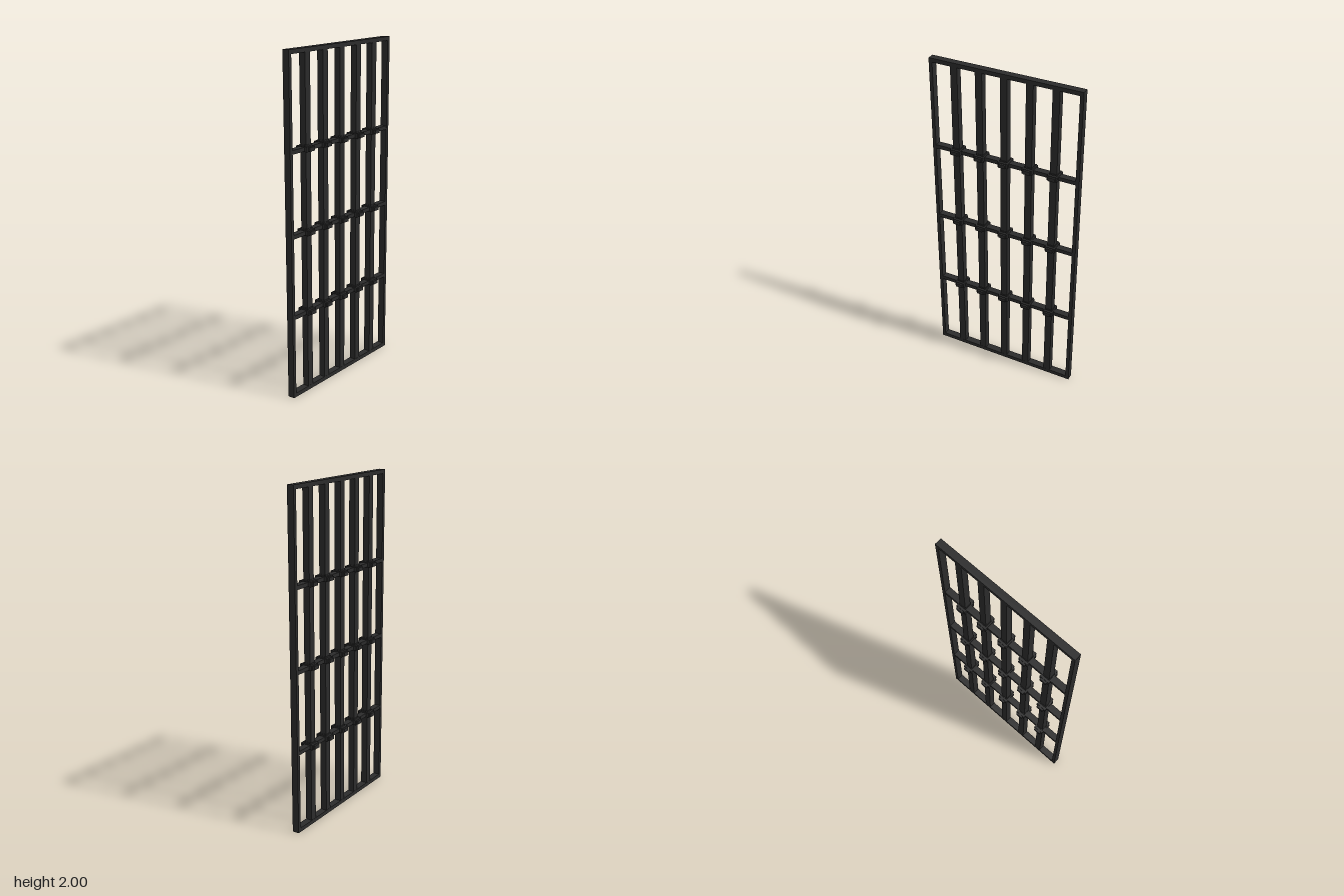
import * as THREE from 'three';

export function createModel() {
  const group = new THREE.Group();
  const iron = new THREE.MeshStandardMaterial({ color: 0x2b2b2b });
  iron.name = 'dark iron';

  function box(name, w, h, d, x, y, parent = group) {
    const mesh = new THREE.Mesh(new THREE.BoxGeometry(w, h, d), iron);
    mesh.name = name;
    mesh.position.set(x, y, 0);
    parent.add(mesh);
  }

  const W = 0.915, D = 0.042, rail = 0.024, stile = 0.021;
  const barXs = [-2, -1, 0, 1, 2].map(i => i * 0.152);

  // Outer frame
  box('topRail', W, rail, D, 0, 2 - rail / 2);
  box('bottomRail', W, rail, D, 0, rail / 2);
  for (const [name, s] of [['leftStile', 1], ['rightStile', -1]])
    box(name, stile, 2 - 2 * rail, D, s * (W - stile) / 2, 1);

  // Upright bars
  for (const x of barXs) box('uprightBar', 0.042, 2 - 2 * rail, 0.04, x, 1);

  // Cross bars with a stepped collar at every crossing
  for (const y of [0.495, 0.974, 1.453]) {
    box('crossBar', W - 2 * stile, 0.023, 0.04, 0, y);
    for (const x of barXs) {
      const collar = new THREE.Group();
      collar.name = 'collar';
      collar.position.set(x, y, 0);
      group.add(collar);
      box('collarBand', 0.063, 0.03, 0.074, 0, 0, collar);
      box('collarFace', 0.043, 0.022, 0.098, 0, 0, collar);
      box('collarCore', 0.047, 0.046, 0.046, 0, 0, collar);
    }
  }
  return group;
}
